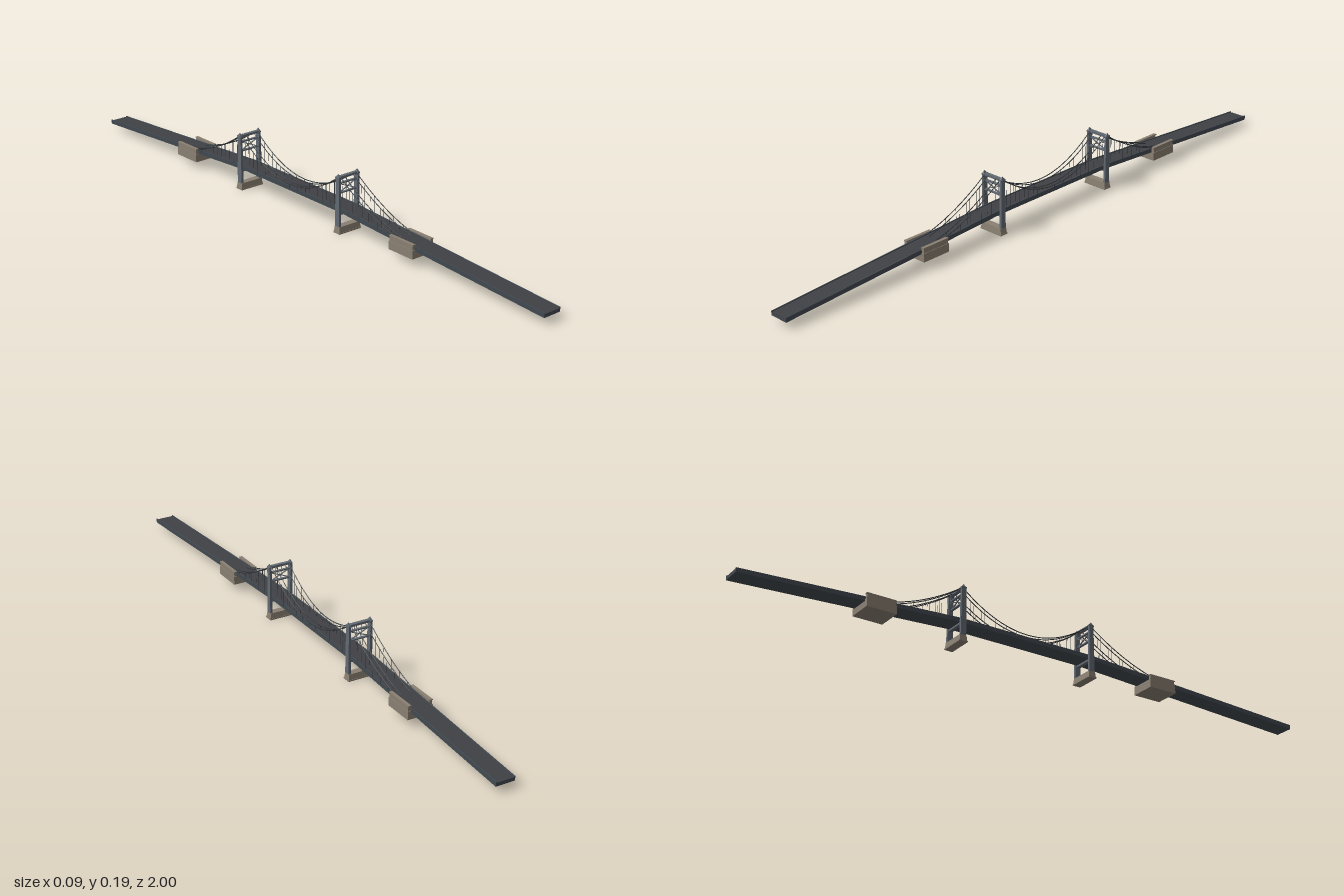
import * as THREE from 'three';

const steel = new THREE.MeshStandardMaterial({ color: 0x626a72 });
const road = new THREE.MeshStandardMaterial({ color: 0x404145 });
const girder = new THREE.MeshStandardMaterial({ color: 0x424a50 });
const stone = new THREE.MeshStandardMaterial({ color: 0x8a8072 });
const wire = new THREE.MeshStandardMaterial({ color: 0x33383c });

const MID = -0.046, HALF = 0.232;              // centre and half length of main span
const TOWERS = [MID + HALF, MID - HALF];
const CABLE_X = [-0.031, -0.016, 0.016, 0.031];
const TOP = 0.179;

export function createModel() {
  const model = new THREE.Group();
  model.name = 'suspensionBridge';

  const add = (name, geo, mat, x = 0, y = 0, z = 0, parent = model) => {
    const m = new THREE.Mesh(geo, mat);
    m.name = name;
    m.position.set(x, y, z);
    parent.add(m);
    return m;
  };
  const box = (name, mat, w, h, d, x, y, z, parent) =>
    add(name, new THREE.BoxGeometry(w, h, d), mat, x, y, z, parent);

  // Box whose top face is scaled relative to its base
  const tapered = (w, h, d, sx, sz) => {
    const g = new THREE.BoxGeometry(w, h, d);
    const p = g.attributes.position;
    for (let i = 0; i < p.count; i++) {
      if (p.getY(i) > 0) p.setXYZ(i, p.getX(i) * sx, p.getY(i), p.getZ(i) * sz);
    }
    g.computeVertexNormals();
    return g;
  };

  // Road level: flat main span, approaches sloping down to both ends
  const roadY = (z) => {
    if (z > TOWERS[0]) return 0.076 - 0.044 * (z - TOWERS[0]) / (1 - TOWERS[0]);
    if (z < TOWERS[1]) return 0.076 - 0.044 * (TOWERS[1] - z) / (1 + TOWERS[1]);
    return 0.076;
  };

  // Strip following the road line, from lo to hi relative to road level
  const strip = (name, mat, x, width, lo, hi) => {
    const zs = [-1, TOWERS[1], TOWERS[0], 1];
    const pts = zs.map((z) => new THREE.Vector2(z, roadY(z) + lo))
      .concat(zs.reverse().map((z) => new THREE.Vector2(z, roadY(z) + hi)));
    const g = new THREE.ExtrudeGeometry(new THREE.Shape(pts), { depth: width, bevelEnabled: false });
    g.translate(0, 0, -width / 2).rotateY(-Math.PI / 2);
    add(name, g, mat, x);
  };
  strip('deckGirder', girder, 0, 0.056, -0.011, -0.002);
  strip('roadway', road, 0, 0.056, -0.002, 0);
  for (const s of [-1, 1]) strip('parapet', girder, s * 0.0295, 0.003, -0.011, 0.003);

  // Towers
  for (const z of TOWERS) {
    const tower = new THREE.Group();
    tower.name = 'tower';
    tower.position.z = z;
    model.add(tower);
    box('pierPlinth', stone, 0.085, 0.004, 0.028, 0, 0.002, 0, tower);
    add('pier', tapered(0.083, 0.018, 0.026, 0.95, 0.85), stone, 0, 0.013, 0, tower);
    for (const s of [-1, 1]) {
      add('towerLeg', tapered(0.008, 0.154, 0.019, 0.9, 0.8), steel, s * 0.0365, 0.099, 0, tower);
      box('legCap', steel, 0.009, 0.004, 0.018, s * 0.0365, 0.176, 0, tower);
      const cap = new THREE.ConeGeometry(0.0055, 0.01, 4).rotateY(Math.PI / 4).toNonIndexed();
      cap.computeVertexNormals();
      add('finial', cap, steel, s * 0.0365, 0.183, 0, tower).scale.z = 1.7;
      // Diagonal bracing
      const brace = box('crossBrace', steel, Math.hypot(0.066, 0.028), 0.002, 0.004, 0, 0.142, 0, tower);
      brace.rotation.z = s * Math.atan2(0.028, 0.066);
    }
    box('topBeam', steel, 0.07, 0.007, 0.012, 0, 0.176, 0, tower);
    for (const y of [0.127, 0.157]) box('crossBeam', steel, 0.068, 0.004, 0.008, 0, y, 0, tower);
    box('deckBeam', steel, 0.07, 0.007, 0.012, 0, 0.062, 0, tower);
  }

  // Anchorages: solid lower block with side walls flanking the road
  for (const z of [MID + 0.506, MID - 0.506]) {
    const anchorage = new THREE.Group();
    anchorage.name = 'anchorage';
    anchorage.position.z = z;
    model.add(anchorage);
    box('anchorBlock', stone, 0.083, 0.027, 0.098, 0, 0.0385, 0, anchorage);
    for (const s of [-1, 1]) {
      box('anchorWall', stone, 0.009, 0.014, 0.094, s * 0.0355, 0.059, 0, anchorage);
      box('wallCoping', stone, 0.0105, 0.003, 0.098, s * 0.0355, 0.0675, 0, anchorage);
    }
  }

  // Cables and hangers
  const mainY = (z) => 0.085 + (TOP - 0.085) * ((z - MID) / HALF) ** 2;
  const END = 0.25;                               // side span length
  const sideY = (t) => TOP + (0.062 - TOP) * t - 0.06 * t * (1 - t);
  const hangerGeo = new THREE.CylinderGeometry(0.0006, 0.0006, 1, 5);
  const hanger = (x, z, top) => {
    const low = roadY(z) - 0.002;
    if (top - low > 0.004) add('hanger', hangerGeo, wire, x, (top + low) / 2, z).scale.y = top - low;
  };
  const cable = (name, pts) =>
    add(name, new THREE.TubeGeometry(new THREE.CatmullRomCurve3(pts), 32, 0.0014, 6), wire);

  for (const x of CABLE_X) {
    const main = [];
    for (let i = 0; i <= 12; i++) {
      const z = MID - HALF + (2 * HALF * i) / 12;
      main.push(new THREE.Vector3(x, mainY(z), z));
      if (i % 12) hanger(x, z, mainY(z));
    }
    cable('mainCable', main);
    for (const s of [-1, 1]) {
      const side = [];
      for (let i = 0; i <= 6; i++) {
        const z = MID + s * (HALF + (END * i) / 6);
        side.push(new THREE.Vector3(x, sideY(i / 6), z));
        if (i % 6) hanger(x, z, sideY(i / 6));
      }
      cable('sideCable', side);
    }
  }
  return model;
}
